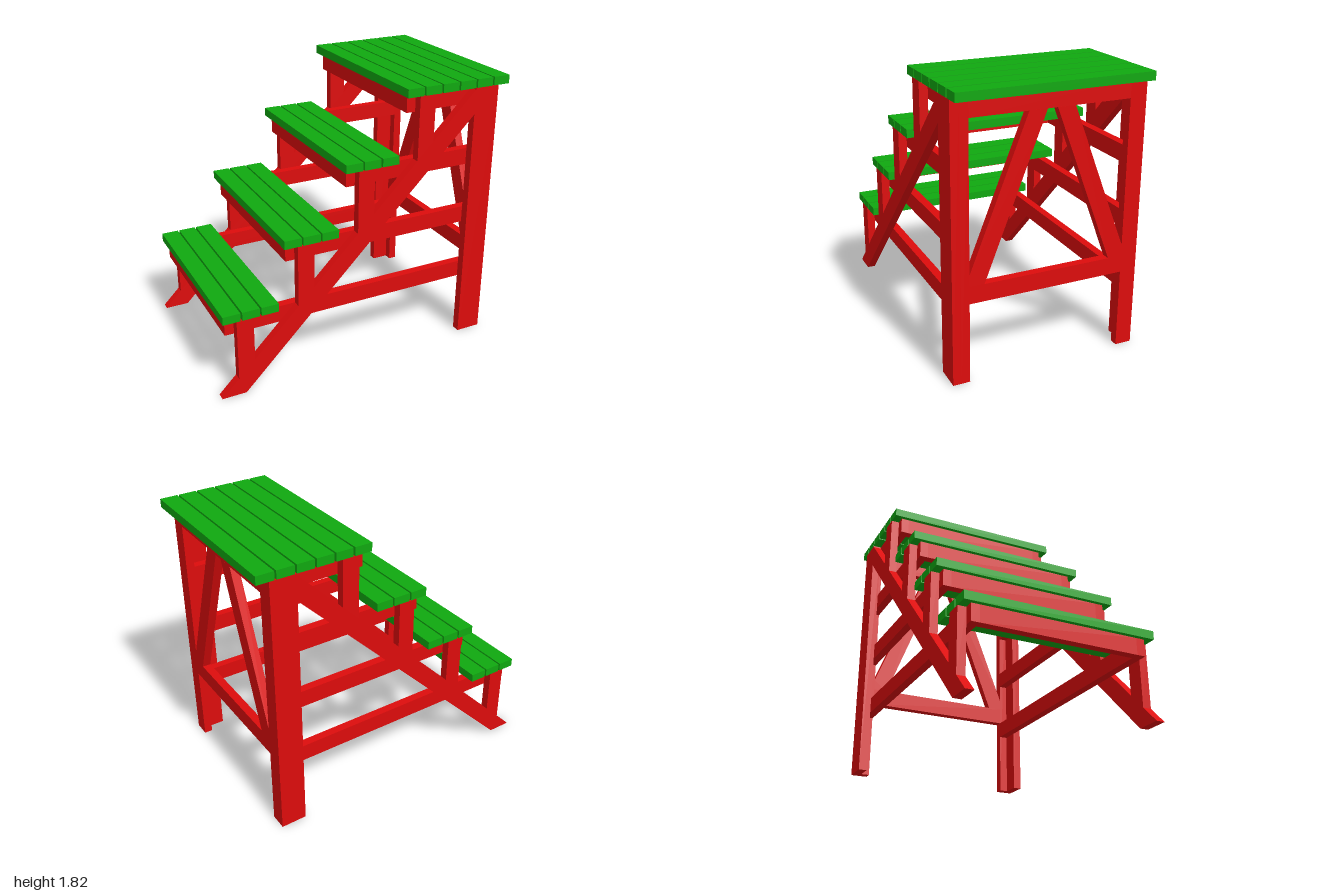
import * as THREE from 'three';

export function createModel() {
  const model = new THREE.Group();
  model.name = 'steppedStand';
  const red = new THREE.MeshStandardMaterial({ color: 0xdd0c0c, flatShading: true });
  const green = new THREE.MeshStandardMaterial({ color: 0x10a810, flatShading: true });

  // Box given by its lower and upper limits on each axis
  const box = (name, mat, [x0, x1], [y0, y1], [z0, z1]) => {
    const mesh = new THREE.Mesh(new THREE.BoxGeometry(x1 - x0, y1 - y0, z1 - z0), mat);
    mesh.position.set((x0 + x1) / 2, (y0 + y1) / 2, (z0 + z1) / 2);
    mesh.name = name;
    model.add(mesh);
  };
  // Flat board cut to an outline
  const board = (name, points, depth) => {
    const shape = new THREE.Shape(points.map(p => new THREE.Vector2(...p)));
    const mesh = new THREE.Mesh(
      new THREE.ExtrudeGeometry(shape, { depth, bevelEnabled: false }), red);
    mesh.name = name;
    model.add(mesh);
    return mesh;
  };
  const span = (s, a, b) => (s > 0 ? [a, b] : [-b, -a]);

  const T = 0.055, W = 0.11;                 // board thickness and width
  const OUT = 0.625, MID = 0.57, IN = 0.515; // side layers
  const legX = [0.75, 0.92], endX = [0.865, 0.92];
  const steps = [0, 1, 2, 3].map(i => ({ x: -0.945 + 0.41 * i, top: 0.525 + 0.4117 * i }));
  const TOP = steps[3].top;

  // Treads: three slats on each step, six on the platform
  steps.forEach(({ x, top }, i) => {
    const count = i === 3 ? 6 : 3;
    for (let k = 0; k < count; k++) {
      const x0 = x - 0.027 + k * 0.1255;
      box('treadSlat', green, [x0, x0 + 0.114], [top, top + T], [-OUT, OUT]);
    }
    // Front crossbar under the slats
    box('stepCrossbar', red, [x, x + T], [top - W, top], [-IN, IN]);
  });

  for (const s of [1, -1]) {
    const outer = span(s, MID, OUT), inner = span(s, IN, MID);

    // L-section leg made of two boards
    box('legSideBoard', red, legX, [0, TOP], outer);
    box('legEndBoard', red, endX, [0, TOP], inner);

    // Sloping stringer
    board('stringer', [[-1, 0], [-0.84, 0], [0.75, 1.59], [0.75, 1.75]], T).position.z = outer[0];

    // Step bearers and the posts standing on the stringer
    for (const { x, top } of steps) {
      box('stepBearer', red, [x, endX[0]], [top - W, top], inner);
      const a = x + 0.06, b = a + W;
      board('stepPost', [[a, a + 1], [b, b + 1], [b, top], [a, top]], T).position.z = outer[0];
    }

    // Slanted end brace, outline in (z, y)
    const pts = [[0.42, 0.637], [IN, 0.637], [IN, 0.71], [0.148, 1.647], [0.032, 1.647]];
    const outline = pts.map(([z, y]) => [-s * z, y]);
    const brace = board('endBrace', outline, T);
    brace.rotation.y = Math.PI / 2;
    brace.position.x = endX[0];
  }

  // Rails joining the tall legs
  box('lowerEndRail', red, endX, [0.525, 0.637], [-IN, IN]);
  box('upperEndRail', red, endX, [TOP - 0.113, TOP], [-IN, IN]);

  return model;
}
